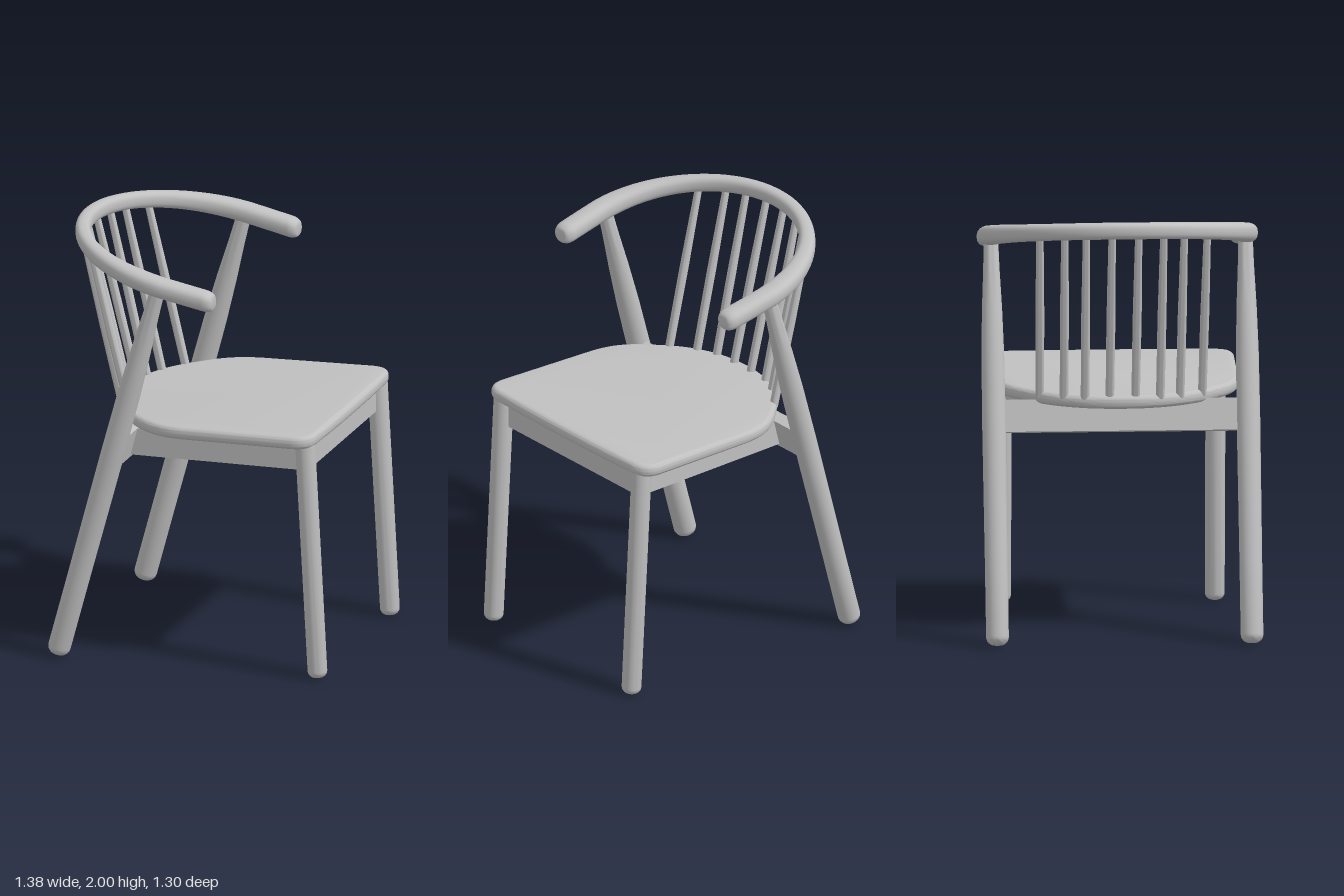
import * as THREE from 'three';
import { toCreasedNormals } from 'three/addons/utils/BufferGeometryUtils.js';

const V = (x, y, z) => new THREE.Vector3(x, y, z);

// Height of the tilted back rail's centreline at a given x
const railY = (x) => 1.838 - 0.196 * x;
const RAIL = { cx: -0.08, rx: 0.575, rz: 0.595 };

export function createModel() {
  const group = new THREE.Group();
  const wood = new THREE.MeshStandardMaterial({ color: 0xc0c0c0 });
  wood.name = 'pale wood';

  function add(name, geometry) {
    const mesh = new THREE.Mesh(geometry, wood);
    mesh.name = name;
    group.add(mesh);
    return mesh;
  }

  // Turned rod from a to b; stops are [fraction of length, radius], bottom end rounded
  function rod(name, a, b, stops, round = 0) {
    const dir = b.clone().sub(a);
    const len = dir.length();
    const r0 = stops[0][1];
    const pts = [new THREE.Vector2(0, 0)];
    for (let i = 0; i <= 6 && round; i++) {
      const t = (i / 6) * Math.PI / 2;
      pts.push(new THREE.Vector2(r0 - round + round * Math.sin(t), round * (1 - Math.cos(t))));
    }
    stops.forEach(([t, r], i) => {
      if (i || !round) pts.push(new THREE.Vector2(r, t * len));
    });
    pts.push(new THREE.Vector2(0, len));
    const mesh = add(name, toCreasedNormals(new THREE.LatheGeometry(pts, 28), 0.7));
    mesh.position.copy(a);
    mesh.quaternion.setFromUnitVectors(V(0, 1, 0), dir.normalize());
  }

  // Square rail from a to b, rolled about its own length
  function bar(name, a, b, height, thick, roll = 0) {
    const dir = b.clone().sub(a);
    const mesh = add(name, new THREE.BoxGeometry(thick, height, dir.length()));
    mesh.position.copy(a).add(b).multiplyScalar(0.5);
    mesh.lookAt(b);
    mesh.rotateZ(roll);
  }

  // Seat: rounded at the back, squared at the front, tipped slightly backwards
  const s = new THREE.Shape();
  s.moveTo(-0.485, 0);
  s.bezierCurveTo(-0.485, 0.2, -0.4, 0.33, -0.3, 0.42);
  s.bezierCurveTo(-0.2, 0.52, -0.13, 0.56, 0, 0.567);
  s.lineTo(0.53, 0.58);
  s.bezierCurveTo(0.6, 0.58, 0.632, 0.54, 0.634, 0.48);
  s.quadraticCurveTo(0.65, 0, 0.634, -0.48);
  s.bezierCurveTo(0.632, -0.54, 0.6, -0.58, 0.53, -0.58);
  s.lineTo(0, -0.567);
  s.bezierCurveTo(-0.13, -0.56, -0.2, -0.52, -0.3, -0.42);
  s.bezierCurveTo(-0.4, -0.33, -0.485, -0.2, -0.485, 0);
  const seatGeo = new THREE.ExtrudeGeometry(s, {
    depth: 0.012, bevelThickness: 0.025, bevelSize: 0.025, bevelOffset: -0.025,
    bevelSegments: 6, curveSegments: 16,
  });
  seatGeo.rotateX(Math.PI / 2);
  const seat = add('seat', toCreasedNormals(seatGeo, 0.7));
  seat.position.set(0, 1.147, 0);
  seat.rotation.z = Math.atan(0.035 / 1.12);

  // Back rail: swept rounded section, wide at the arms and slim behind the back
  const path = [];
  const capStep = [[0, 0.6], [0.006, 0.78], [0.016, 0.9], [0.03, 0.98], [0.045, 1]];
  capStep.forEach(([d, k]) => path.push({ x: 0.162 - d, z: 0.588, nx: 0, nz: 1, k }));
  path.push({ x: 0.02, z: 0.592, nx: 0, nz: 1, k: 1 });
  const N = 56;
  for (let i = 0; i <= N; i++) {
    const a = (i / N) * Math.PI;
    const n = new THREE.Vector2(-Math.sin(a) / RAIL.rx, Math.cos(a) / RAIL.rz).normalize();
    path.push({ x: RAIL.cx - RAIL.rx * Math.sin(a), z: RAIL.rz * Math.cos(a), nx: n.x, nz: n.y, k: 1 });
  }
  path.push({ x: 0.02, z: -0.592, nx: 0, nz: -1, k: 1 });
  [...capStep].reverse().forEach(([d, k]) => path.push({ x: 0.162 - d, z: -0.588, nx: 0, nz: -1, k }));

  const M = 24;
  const pos = [];
  const idx = [];
  const soft = (v) => Math.sign(v) * Math.pow(Math.abs(v), 0.8);
  path.forEach((p, i) => {
    const back = THREE.MathUtils.smoothstep(-p.x, 0.1, 0.62);
    const w = (0.056 - 0.02 * back) * p.k;
    const h = (0.047 - 0.008 * back) * p.k;
    for (let j = 0; j < M; j++) {
      const t = (j / M) * Math.PI * 2;
      const u = w * soft(Math.cos(t));
      pos.push(p.x + p.nx * u, railY(p.x) + h * soft(Math.sin(t)), p.z + p.nz * u);
      if (i === path.length - 1) continue;
      const a = i * M + j, b = i * M + ((j + 1) % M);
      idx.push(a, b, a + M, b, b + M, a + M);
    }
  });
  // End caps of the arms
  const last = (path.length - 1) * M;
  for (let j = 1; j < M - 1; j++) {
    idx.push(0, j + 1, j);
    idx.push(last, last + j, last + j + 1);
  }
  const railGeo = new THREE.BufferGeometry();
  railGeo.setAttribute('position', new THREE.Float32BufferAttribute(pos, 3));
  railGeo.setIndex(idx);
  railGeo.computeVertexNormals();
  add('backRail', railGeo);

  // Legs and side rails, mirrored
  for (const m of [1, -1]) {
    const side = m > 0 ? 'Left' : 'Right';
    rod('backLeg' + side, V(-0.607, 0.012, 0.592 * m), V(-0.113, 1.84, 0.592 * m),
      [[0, 0.053], [0.2, 0.053], [0.55, 0.055], [0.72, 0.053], [0.83, 0.047], [0.93, 0.038], [1, 0.034]], 0.04);
    rod('frontLeg' + side, V(0.643, 0.006, 0.497 * m), V(0.58, 1.15, 0.497 * m),
      [[0, 0.046], [1, 0.047]], 0.032);
    bar('sideRail' + side, V(-0.3, 1.038, 0.42 * m), V(0.58, 1.075, 0.475 * m), 0.13, 0.05);
  }

  // Front and back rails under the seat
  bar('frontRail', V(0.565, 1.07, -0.48), V(0.565, 1.07, 0.48), 0.13, 0.05);
  bar('rearRail', V(-0.312, 1.04, -0.58), V(-0.312, 1.04, 0.58), 0.15, 0.06, -0.26);

  // Spindles between the seat and the back rail
  const spindles = [[0.06, -0.445], [0.175, -0.437], [0.27, -0.397], [0.378, -0.32]];
  for (const [z, x] of spindles) {
    for (const m of [1, -1]) {
      const zt = z * 1.03;
      const xt = RAIL.cx - RAIL.rx * Math.sqrt(1 - (zt / RAIL.rz) ** 2);
      rod('spindle', V(x, 1.135, z * m), V(xt, railY(xt) - 0.01, zt * m), [[0, 0.02], [0.5, 0.021], [1, 0.017]]);
    }
  }

  return group;
}
